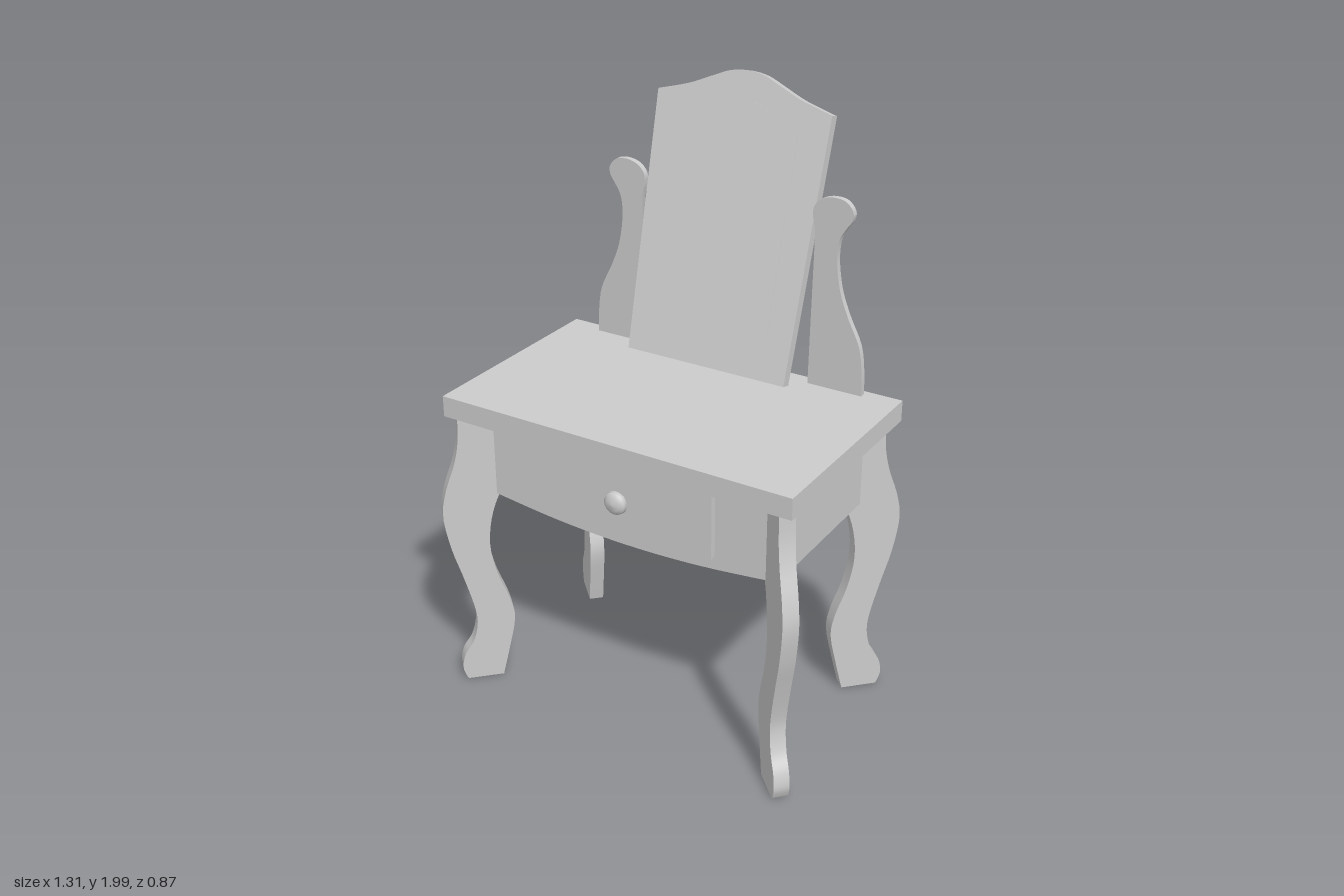
import * as THREE from 'three';
import { toCreasedNormals } from 'three/addons/utils/BufferGeometryUtils.js';

const grey = new THREE.MeshStandardMaterial({ color: 0xcccccc });
const vec = (pts) => pts.map(([x, y]) => new THREE.Vector2(x, y));
const smooth = (pts, n) => new THREE.SplineCurve(vec(pts)).getPoints(n);

function mesh(name, geometry) {
  const m = new THREE.Mesh(geometry, grey);
  m.name = name;
  return m;
}

// Flat board of the given outline, centred on its thickness
function board(points, depth) {
  const g = new THREE.ExtrudeGeometry(new THREE.Shape(points), { depth, bevelEnabled: false });
  g.translate(0, 0, -depth / 2);
  return toCreasedNormals(g, 0.6);
}

function box(name, x0, x1, y0, y1, z0, z1) {
  const m = mesh(name, new THREE.BoxGeometry(x1 - x0, y1 - y0, z1 - z0));
  m.position.set((x0 + x1) / 2, (y0 + y1) / 2, (z0 + z1) / 2);
  return m;
}

// Curved leg cut from a plank; widths are measured along one axis of the diagonal
function legGeometry() {
  const outer = [[0.104, 0], [0.11, 0.015], [0.116, 0.05], [0.108, 0.1], [0.086, 0.15], [0.075, 0.22],
    [0.08, 0.29], [0.102, 0.41], [0.124, 0.52], [0.137, 0.64], [0.127, 0.73], [0.105, 0.82], [0.093, 0.9], [0.09, 0.987]];
  const inner = [[-0.04, 0.987], [-0.04, 0.8], [0.0, 0.72], [0.026, 0.62], [0.034, 0.51], [0.02, 0.4],
    [-0.005, 0.3], [-0.014, 0.22], [0.003, 0.1], [0.02, 0]];
  const outline = [...smooth(outer, 44), ...smooth(inner, 32)];
  outline.forEach((p) => { p.x *= Math.SQRT2; });
  return board(outline, 0.05);
}

export function createModel() {
  const model = new THREE.Group();
  model.name = 'dressingTable';

  // Table top
  model.add(box('tableTop', -0.617, 0.617, 0.987, 1.057, -0.328, 0.397));

  // Case with bowed underside, its corners set into the legs
  const bow = smooth([[-0.535, 0.71], [-0.26, 0.68], [0, 0.67], [0.26, 0.68], [0.535, 0.71]], 20);
  const body = mesh('case', board([...bow, ...vec([[0.535, 0.98], [-0.535, 0.98]])], 0.575));
  body.position.z = 0.0225;
  model.add(body);

  // Drawer front and turned knob
  model.add(box('drawerFront', -0.32, 0.32, 0.73, 0.955, 0.29, 0.33));
  const knobProfile = [[0.018, 0], [0.016, 0.01], [0.03, 0.016], [0.039, 0.026],
    [0.036, 0.038], [0.022, 0.048], [0, 0.051]];
  const knob = mesh('drawerKnob', new THREE.LatheGeometry(vec(knobProfile), 24));
  knob.rotation.x = Math.PI / 2;
  knob.position.set(0, 0.84, 0.328);
  model.add(knob);

  // Four legs on the diagonals of the case
  const legGeo = legGeometry();
  for (const sx of [1, -1]) {
    for (const [end, sz, x, z] of [['front', 1, 0.5, 0.281], ['back', -1, 0.478, -0.214]]) {
      const leg = mesh(`${end}${sx > 0 ? 'Left' : 'Right'}Leg`, legGeo);
      leg.position.set(sx * x, 0, z);
      leg.rotation.y = Math.atan2(-sz, sx);
      model.add(leg);
    }
  }

  // Mirror supports with rounded heads
  const supportEdge = smooth([[0.494, 1.055], [0.492, 1.13], [0.478, 1.22], [0.435, 1.31], [0.405, 1.39],
    [0.39, 1.48], [0.394, 1.55], [0.414, 1.59], [0.434, 1.62], [0.435, 1.65], [0.41, 1.677], [0.37, 1.683],
    [0.33, 1.672], [0.305, 1.645], [0.303, 1.61], [0.312, 1.57]], 60);
  for (const sx of [1, -1]) {
    const pts = [...supportEdge, ...vec([[0.306, 1.055]])].map((p) => new THREE.Vector2(p.x * sx, p.y));
    const support = mesh(sx > 0 ? 'leftMirrorSupport' : 'rightMirrorSupport', board(pts, 0.02));
    support.position.z = -0.297;
    model.add(support);
  }

  // Tilted mirror: shaped frame with a barely raised glass
  const mirror = new THREE.Group();
  mirror.name = 'mirror';
  const crest = [[0.307, 0.84], [0.2, 0.87], [0.12, 0.903], [0.06, 0.927], [0, 0.935],
    [-0.06, 0.927], [-0.12, 0.903], [-0.2, 0.87], [-0.307, 0.84]];
  mirror.add(mesh('mirrorFrame', board([...vec([[-0.288, 0], [0.288, 0]]), ...smooth(crest, 32)], 0.034)));
  const glassTop = [[0.205, 0.78], [0.13, 0.803], [0.06, 0.838], [0, 0.848],
    [-0.06, 0.838], [-0.13, 0.803], [-0.205, 0.78]];
  const glass = mesh('mirrorGlass', board([...vec([[-0.205, 0.1], [0.205, 0.1]]), ...smooth(glassTop, 24)], 0.006));
  glass.position.z = 0.015;
  mirror.add(glass);
  mirror.position.set(0, 1.086, -0.174);
  mirror.rotation.x = -0.267;
  model.add(mirror);

  return model;
}
